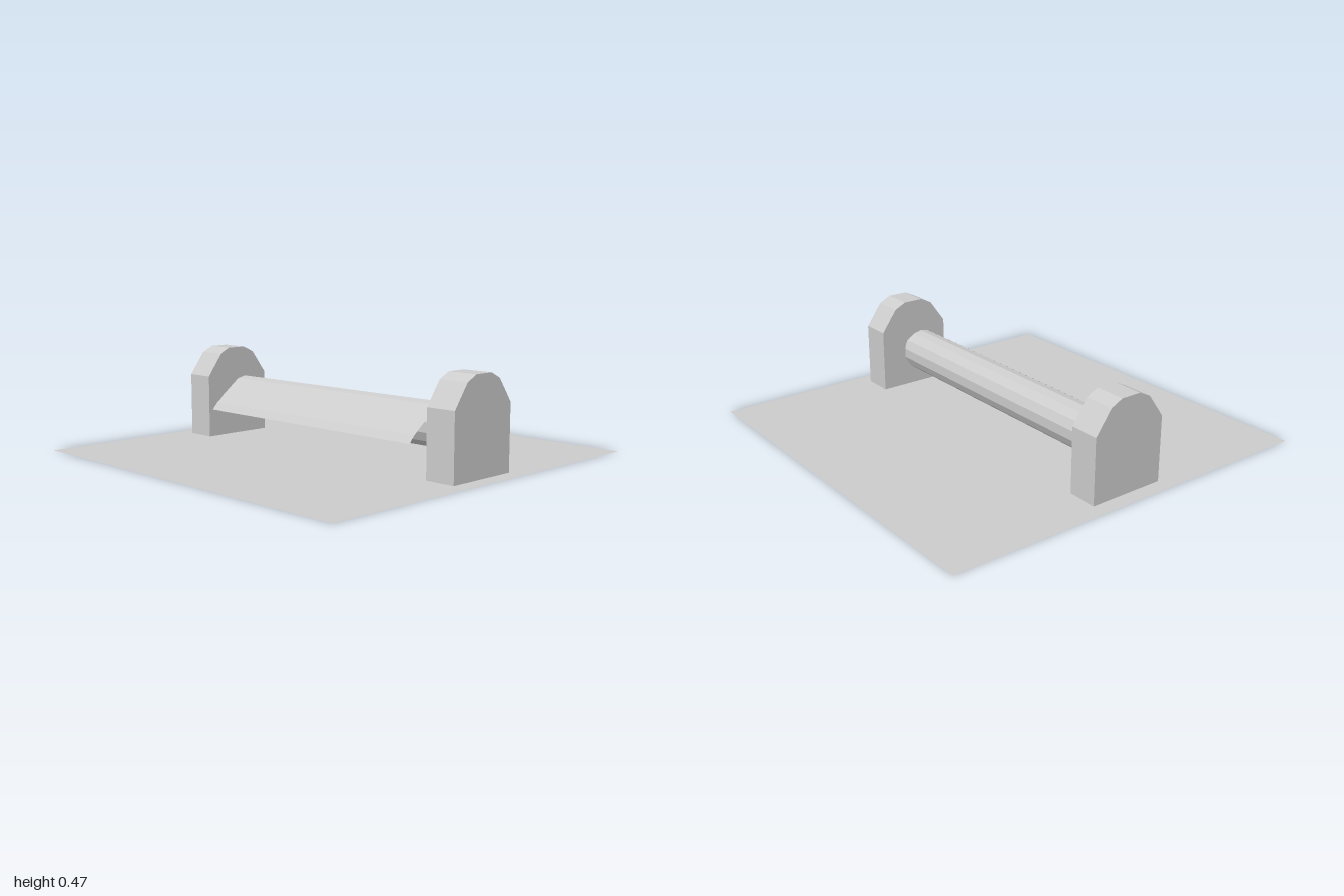
import * as THREE from 'three';

export function createModel() {
  const group = new THREE.Group();
  const grey = new THREE.MeshStandardMaterial({ color: 0xcccccc, flatShading: true });
  const thin = new THREE.MeshStandardMaterial({ color: 0xcccccc, flatShading: true, side: THREE.DoubleSide });
  const add = (name, geometry, material = grey) => {
    const mesh = new THREE.Mesh(geometry, material);
    mesh.name = name;
    group.add(mesh);
    return mesh;
  };
  const axisY = 0.214;

  // Flat backing plate
  add('backPlate', new THREE.PlaneGeometry(2, 2).rotateX(-Math.PI / 2), thin);

  // Rounded end brackets
  const outline = [[0.196, 0], [0.196, 0.325], [0.113, 0.44], [0.052, 0.47]];
  const mirrored = outline.map(([x, y]) => [-x, y]).reverse();
  const shape = new THREE.Shape([...outline, ...mirrored].map(([x, y]) => new THREE.Vector2(x, y)));
  for (const [name, z] of [['frontBracket', 0.767], ['backBracket', -0.922]]) {
    add(name, new THREE.ExtrudeGeometry(shape, { depth: 0.155, bevelEnabled: false })).position.z = z;
  }

  // Axle and paper roll, 14-sided with an edge at the top
  const bar = (name, radius, length) => {
    const geometry = new THREE.CylinderGeometry(radius, radius, length, 14).rotateX(-Math.PI / 2);
    add(name, geometry).position.y = axisY;
  };
  bar('axle', 0.058, 1.54);
  bar('paperRoll', 0.107, 1.394);

  // Loose sheet leaving the roll, bending slightly down at its end
  const path = [[-0.046, 0.311], [-0.198, 0.192], [-0.228, 0.158]];
  const sheet = new THREE.PlaneGeometry(1, 1.394, path.length - 1, 1).rotateX(-Math.PI / 2);
  const position = sheet.attributes.position;
  for (let i = 0; i < position.count; i++) {
    const [x, y] = path[path.length - 1 - (i % path.length)];
    position.setXYZ(i, x, y, position.getZ(i));
  }
  sheet.computeVertexNormals();
  add('looseSheet', sheet, thin);

  return group;
}
